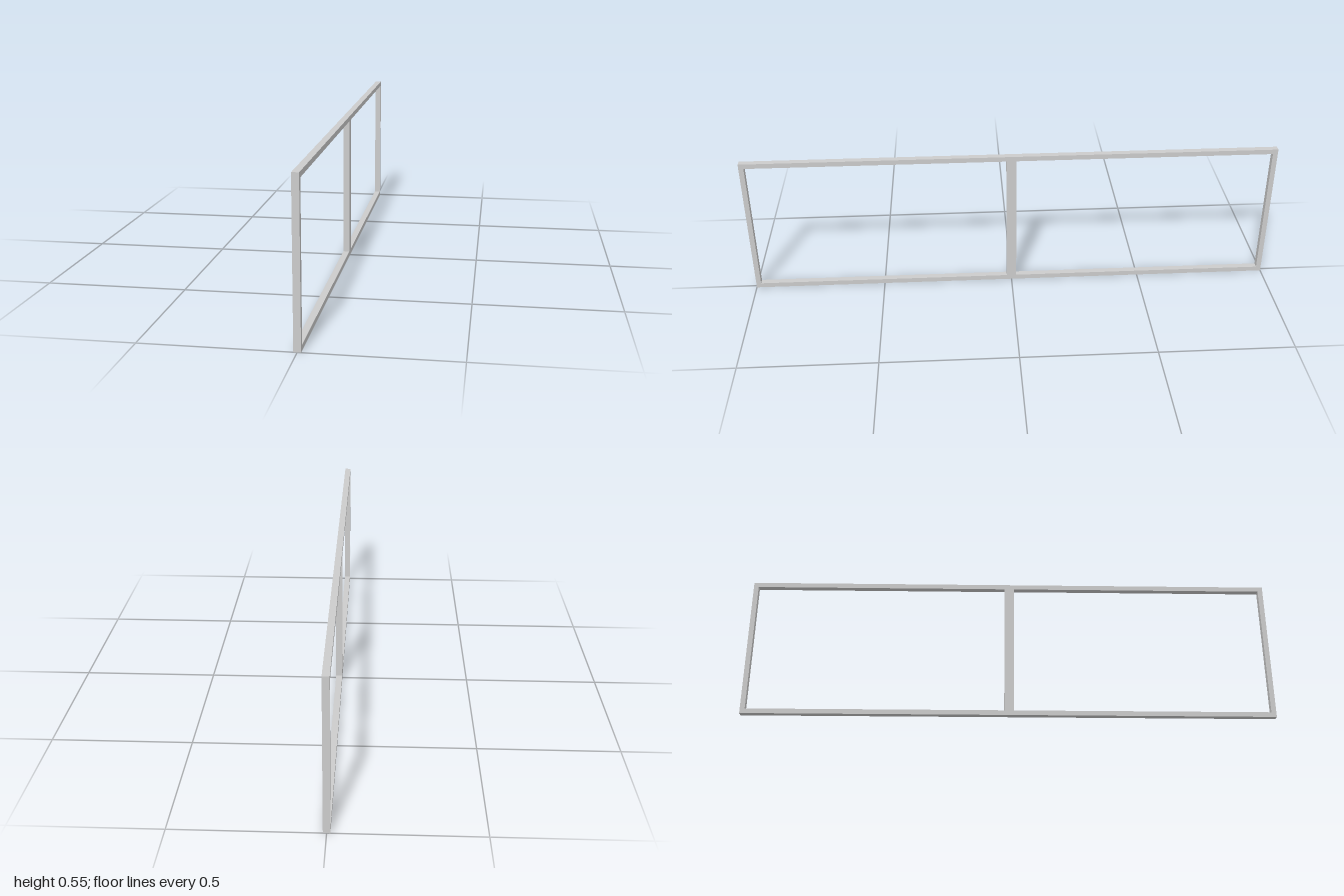
import * as THREE from 'three';

const LENGTH = 2, HEIGHT = 0.548, DEPTH = 0.0235;
const BAR = 0.0185; // border width; the middle post is twice as wide

// Rectangular outline, drawn with the run of the frame along x
function rectangle(PathType, x0, y0, x1, y1) {
  return new PathType([
    new THREE.Vector2(x0, y0), new THREE.Vector2(x1, y0),
    new THREE.Vector2(x1, y1), new THREE.Vector2(x0, y1),
  ]);
}

export function createModel() {
  const group = new THREE.Group();
  group.name = 'doublePaneFrame';
  const half = LENGTH / 2;

  // Outer border with one opening on each side of the middle post
  const outline = rectangle(THREE.Shape, -half, 0, half, HEIGHT);
  for (const start of [-half, 0]) {
    outline.holes.push(rectangle(THREE.Path, start + BAR, BAR, start + half - BAR, HEIGHT - BAR));
  }

  // Extrude to the frame's thickness, then turn its run along z
  const geometry = new THREE.ExtrudeGeometry(outline, { depth: DEPTH, bevelEnabled: false });
  geometry.translate(0, 0, -DEPTH / 2);
  geometry.rotateY(-Math.PI / 2);

  const frame = new THREE.Mesh(geometry, new THREE.MeshStandardMaterial({ color: 0xcccccc }));
  frame.name = 'windowFrame';
  group.add(frame);
  return group;
}
